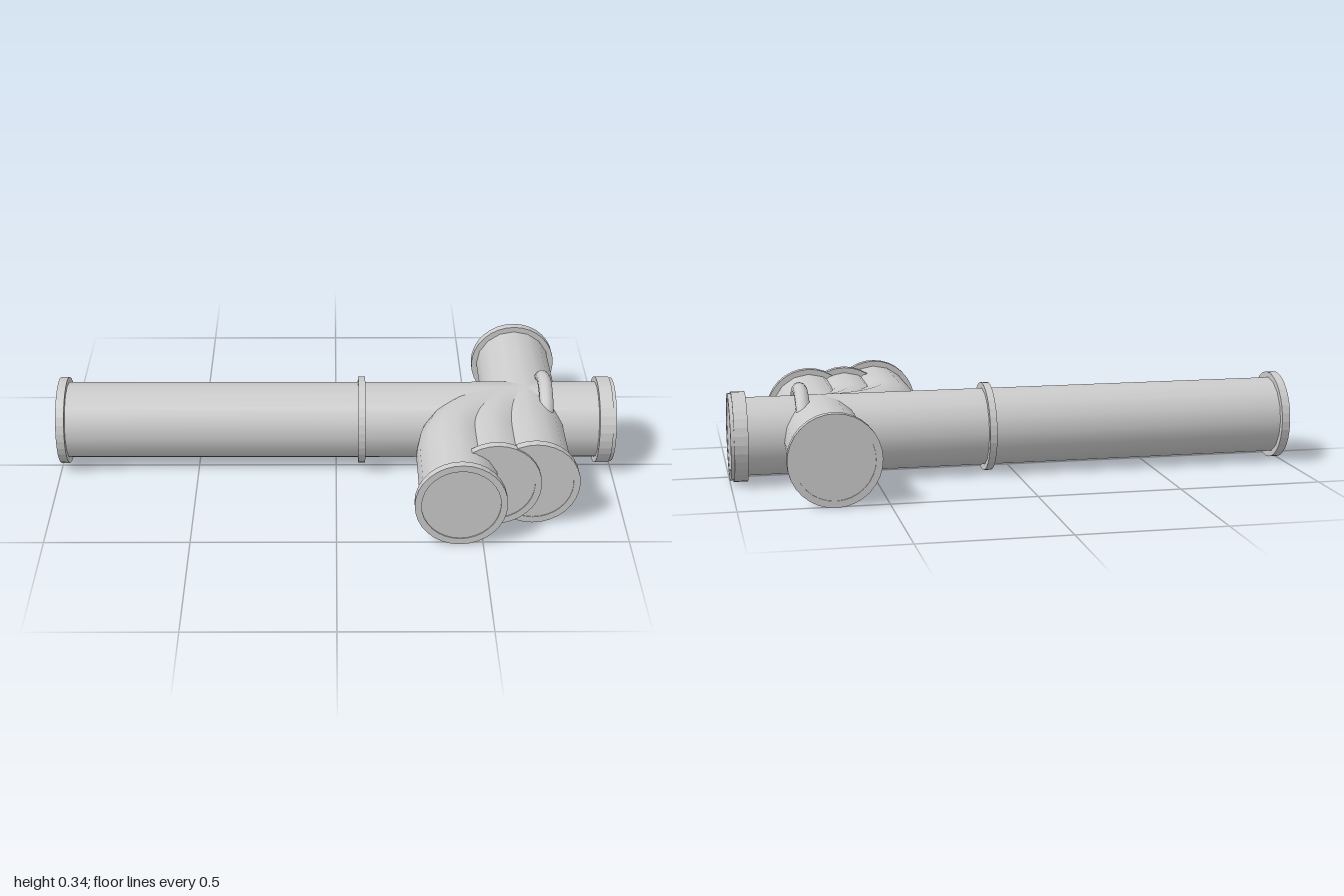
import * as THREE from 'three';

const SIDES = 16, R = 0.138, RIM = 0.157;
const CY = 0.158, CZ = -0.06, CROSS_X = 0.68;

export function createModel() {
  const model = new THREE.Group();
  const material = new THREE.MeshStandardMaterial({ color: 0xcccccc });

  function add(name, geometry, x = 0, y = 0, z = 0, alongX = false) {
    const mesh = new THREE.Mesh(geometry, material);
    mesh.name = name;
    mesh.position.set(x, y, z);
    if (alongX) mesh.rotation.y = Math.PI / 2;
    model.add(mesh);
    return mesh;
  }

  // Straight closed pipe running along z
  function pipeGeometry(length) {
    return new THREE.CylinderGeometry(R, R, length, SIDES).rotateX(Math.PI / 2);
  }

  // Raised collar: a faceted ring extruded along z from 0 to depth
  function collarGeometry(depth, radius = RIM) {
    const ring = new THREE.Shape().absarc(0, 0, radius, 0, Math.PI * 2);
    ring.holes.push(new THREE.Path().absarc(0, 0, R - 0.004, 0, Math.PI * 2, true));
    return new THREE.ExtrudeGeometry(ring, { depth, bevelEnabled: false, curveSegments: SIDES });
  }

  // Main pipe with its collars
  add('mainPipe', pipeGeometry(1.992), 0, CY, CZ, true);
  add('mainEndCollar', collarGeometry(0.03), -1, CY, CZ, true);
  add('mainMiddleCollar', collarGeometry(0.025), 0.08, CY, CZ, true);
  add('mainOutletCollar', collarGeometry(0.048), 0.94, CY, CZ, true);
  add('mainOutletLip', collarGeometry(0.012, 0.152), 0.988, CY, CZ, true)
    .rotateZ(Math.PI / SIDES);

  // Straight cross pipe
  add('crossPipe', pipeGeometry(0.889), CROSS_X, CY, -0.067);
  add('crossBackCollar', collarGeometry(0.03), CROSS_X, CY, -0.515);
  add('crossFrontCollar', collarGeometry(0.03), CROSS_X, CY, 0.35);

  // Bent branches sweeping from the junction towards the front
  function branch(name, x, endZ) {
    const bendZ = 0.26, points = [];
    for (let i = 0; i <= 10; i++) {
      const a = (i / 10) * Math.PI / 2;
      points.push(new THREE.Vector3(
        CROSS_X - (CROSS_X - x) * Math.sin(a), CY, CZ + bendZ * (1 - Math.cos(a))));
    }
    const capZ = endZ - 0.004;
    points.push(new THREE.Vector3(x, CY, (CZ + bendZ + capZ) / 2));
    points.push(new THREE.Vector3(x, CY, capZ));
    const path = new THREE.CatmullRomCurve3(points);
    add(name + 'Pipe', new THREE.TubeGeometry(path, 32, R, SIDES));
    add(name + 'Cap', new THREE.CircleGeometry(R, SIDES), x, CY, capZ);
    add(name + 'Collar', collarGeometry(0.028), x, CY, endZ - 0.028);
  }
  branch('outerBranch', 0.42, 0.513);
  branch('innerBranch', 0.547, 0.388);

  // Rounded ring around the outlet side of the junction
  add('junctionRing', new THREE.TorusGeometry(0.143, 0.025, 10, 28), 0.75, 0.172, CZ, true);

  return model;
}
